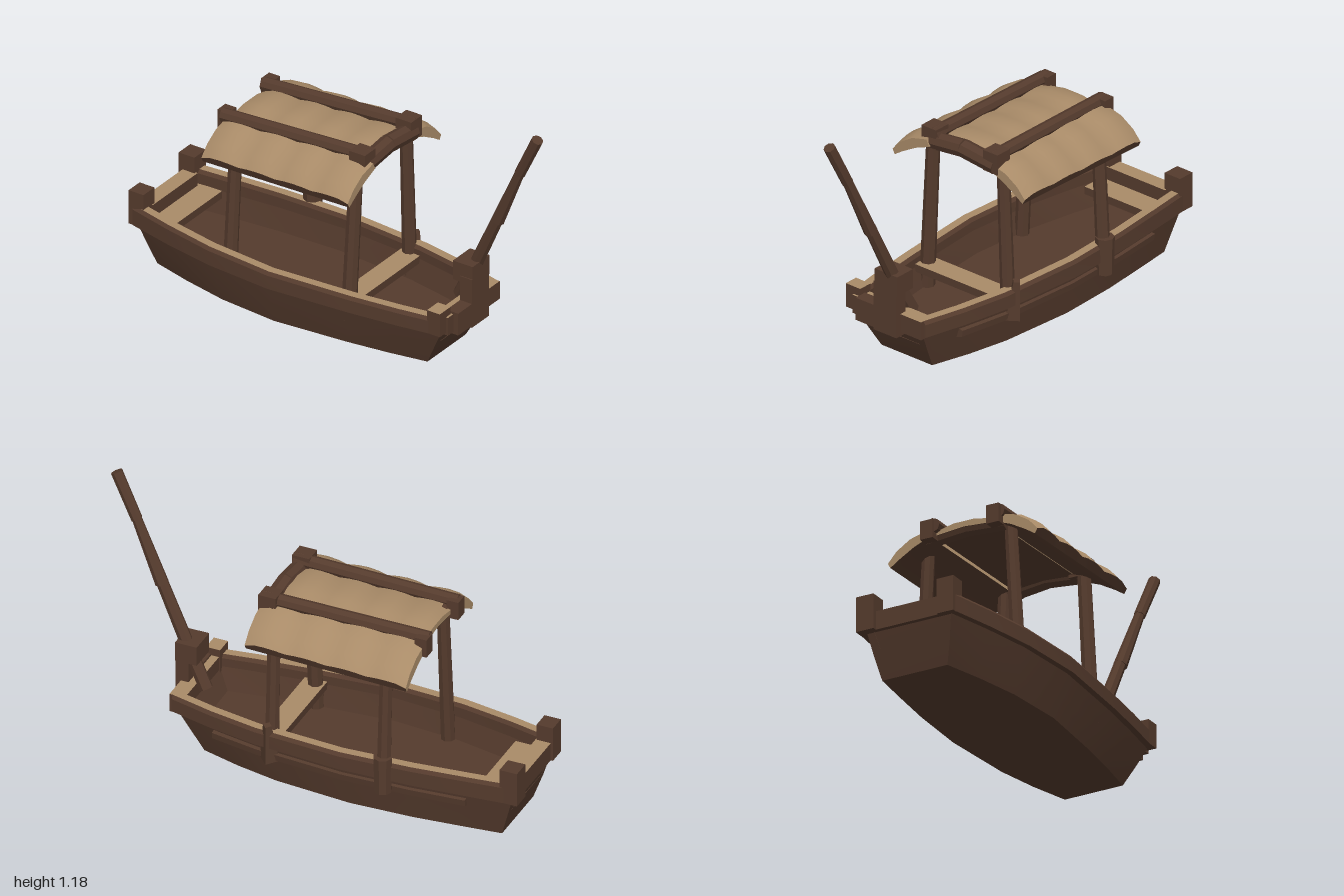
import * as THREE from 'three';
import { toCreasedNormals } from 'three/addons/utils/BufferGeometryUtils.js';

const wood = new THREE.MeshStandardMaterial({ color: 0x553b2d });
wood.name = 'dark wood';
const straw = new THREE.MeshStandardMaterial({ color: 0xa98b68 });
straw.name = 'pale straw';

const V = (x, y, z) => new THREE.Vector3(x, y, z);

// Skin a row of rings running along +x; each ring climbs on its +z side
function loft(rings, caps = true) {
  const out = [];
  const tri = (...pts) => pts.forEach((p) => out.push(p.x, p.y, p.z));
  const n = rings[0].length;
  for (let i = 0; i < rings.length - 1; i++) {
    for (let j = 0; j < n; j++) {
      const k = (j + 1) % n;
      const a = rings[i][j], b = rings[i][k], c = rings[i + 1][k], d = rings[i + 1][j];
      tri(a, d, b);
      tri(b, d, c);
    }
  }
  if (caps) {
    const first = rings[0], last = rings[rings.length - 1];
    const middle = (r) => r.reduce((s, p) => s.add(p), V(0, 0, 0)).divideScalar(n);
    const m0 = middle(first), m1 = middle(last);
    for (let j = 0; j < n; j++) {
      const k = (j + 1) % n;
      tri(m0, first[j], first[k]);
      tri(m1, last[k], last[j]);
    }
  }
  const g = new THREE.BufferGeometry();
  g.setAttribute('position', new THREE.Float32BufferAttribute(out, 3));
  return g;
}

// Faces whose upward tilt exceeds the limit get straw, the others wood
function paint(geo, limit) {
  const g = geo.index ? geo.toNonIndexed() : geo;
  g.clearGroups();
  const p = g.attributes.position;
  const t = new THREE.Triangle(), nrm = V(0, 0, 0);
  for (let i = 0; i < p.count; i += 3) {
    t.setFromAttributeAndIndices(p, i, i + 1, i + 2);
    t.getNormal(nrm);
    g.addGroup(i, 3, nrm.y > limit ? 1 : 0);
  }
  return g;
}

export function createModel() {
  const boat = new THREE.Group();
  boat.name = 'boat';

  function add(name, geo, limit) {
    const painted = limit !== undefined;
    const g = toCreasedNormals(painted ? paint(geo, limit) : geo, 0.6);
    const mesh = new THREE.Mesh(g, painted ? [wood, straw] : wood);
    mesh.name = name;
    boat.add(mesh);
    return mesh;
  }
  function box(name, x0, x1, y0, y1, z0, z1, limit) {
    const g = new THREE.BoxGeometry(x1 - x0, y1 - y0, z1 - z0);
    g.translate((x0 + x1) / 2, (y0 + y1) / 2, (z0 + z1) / 2);
    return add(name, g, limit);
  }
  function pole(name, a, b, ra, rb = ra, sides = 8) {
    const d = b.clone().sub(a);
    const g = new THREE.CylinderGeometry(rb, ra, d.length(), sides);
    g.applyQuaternion(new THREE.Quaternion().setFromUnitVectors(V(0, 1, 0), d.normalize()));
    const m = a.clone().add(b).multiplyScalar(0.5);
    g.translate(m.x, m.y, m.z);
    return add(name, g);
  }

  // Hull plan: x, outer z on the left side, outer z on the right side
  const plan = [[-0.97, 0.21, -0.23], [-0.76, 0.26, -0.25], [-0.52, 0.305, -0.27], [-0.2, 0.33, -0.28],
    [0.2, 0.3, -0.25], [0.42, 0.275, -0.21], [0.62, 0.245, -0.16]];
  const rake = (x) => -0.9 + (x + 0.97) * (1.4 / 1.59);
  const slope = (x, y) => rake(x) + (x - rake(x)) * Math.min(1, y / 0.22);
  const at = (x, y, z) => V(slope(x, y), y, z);

  add('hull', loft(plan.map(([x, f, b]) => [
    at(x, 0, f - 0.07), at(x, 0.1, f - 0.04), at(x, 0.22, f - 0.01),
    at(x, 0.22, f - 0.05), at(x, 0.12, f - 0.07),
    at(x, 0.12, b + 0.07), at(x, 0.22, b + 0.05),
    at(x, 0.22, b + 0.01), at(x, 0.1, b + 0.035), at(x, 0, b + 0.055),
  ]), false));

  // End boards closing the hull
  const board = ([x, f, b], dx) => [
    at(x, 0, f - 0.07), at(x, 0.1, f - 0.04), at(x, 0.24, f - 0.01),
    at(x, 0.24, b + 0.01), at(x, 0.1, b + 0.035), at(x, 0, b + 0.055),
  ].map((p) => p.add(V(dx, 0, 0)));
  const bow = plan[0], stern = plan[plan.length - 1];
  add('bowBoard', loft([board(bow, 0), board(bow, 0.04)]));
  add('sternBoard', loft([board(stern, -0.04), board(stern, 0)]));

  // Side rails with pale top faces
  const railY = (x) => 0.275 + 0.015 * Math.max(0, -x);
  const rail = (side) => plan.map(([x, f, b]) => {
    const outer = side > 0 ? f + 0.012 : b + 0.05;
    const inner = side > 0 ? f - 0.05 : b - 0.012;
    const y = railY(x);
    return [V(x, 0.2, outer), V(x, y - 0.015, outer), V(x, y, outer - 0.012),
      V(x, y, inner + 0.012), V(x, y - 0.015, inner), V(x, 0.2, inner)];
  });
  add('leftRail', loft(rail(1)), 0.8);
  add('rightRail', loft(rail(-1)), 0.8);

  // Lower strake on the right side
  add('rightStrake', loft(plan.slice(1, 6).map(([x, , b]) => [
    V(x, 0.125, b + 0.04), V(x, 0.17, b + 0.04), V(x, 0.165, b + 0.005), V(x, 0.135, b + 0.01),
  ])));

  // Bow and stern rails, corner posts and benches
  box('bowRail', -0.98, -0.91, 0.2, 0.285, -0.17, 0.16, 0.8);
  box('sternRail', 0.565, 0.635, 0.19, 0.275, -0.16, 0.22, 0.8);
  box('bowPostLeft', -0.99, -0.915, 0.2, 0.36, 0.14, 0.22);
  box('bowPostRight', -1, -0.92, 0.2, 0.36, -0.245, -0.16);
  box('sternPostLeft', 0.56, 0.625, 0.2, 0.31, 0.185, 0.265, 0.8);
  box('sternBlock', 0.6, 0.66, 0.18, 0.285, 0.07, 0.18);
  box('bowBench', -0.93, -0.8, 0.19, 0.225, -0.19, 0.18, 0.8);
  box('thwart', 0.1, 0.2, 0.2, 0.235, -0.22, 0.26, 0.8);

  // Canopy posts
  pole('postFrontLeft', V(0.14, 0.12, 0.235), V(0.15, 0.86, 0.19), 0.034, 0.03);
  pole('postFrontRight', V(0.14, 0.12, -0.215), V(0.14, 0.86, -0.185), 0.032, 0.028);
  pole('postBackLeft', V(-0.465, 0.12, 0.235), V(-0.46, 0.84, 0.19), 0.032, 0.028);
  pole('postBackRight', V(-0.4, 0.15, -0.275), V(-0.4, 0.82, -0.24), 0.032, 0.028);
  pole('postFootBackRight', V(-0.4, 0.14, -0.28), V(-0.4, 0.31, -0.28), 0.038, 0.042);
  pole('postFootFrontRight', V(0.14, 0.13, -0.235), V(0.14, 0.31, -0.26), 0.045, 0.02, 4);

  // Canopy beams with blocky ends
  pole('beamLeft', V(-0.54, 0.85, 0.175), V(0.2, 0.88, 0.155), 0.032);
  pole('beamRight', V(-0.55, 0.85, -0.135), V(0.2, 0.88, -0.17), 0.032);
  for (const s of [1, -1]) {
    pole('crossBeamFront', V(0.175, 0.86, 0), V(0.175, 0.84, s * 0.18), 0.04);
    pole('crossBeamBack', V(-0.49, 0.825, 0), V(-0.49, 0.81, s * 0.19), 0.032);
    box('beamEndFront', 0.125, 0.205, 0.815, 0.91, s * 0.17 - 0.04, s * 0.17 + 0.04);
    box('beamEndBack', -0.56, -0.505, 0.79, 0.875, s * 0.16 - 0.03, s * 0.16 + 0.03);
  }

  // Straw mats: a (z, y) outline swept along x in gently bulging bundles
  function mat(name, outline, x0, x1) {
    const rings = [];
    const steps = 16;
    for (let i = 0; i <= steps; i++) {
      const t = i / steps;
      const x = x0 + (x1 - x0) * t;
      const puff = 0.01 * Math.abs(Math.sin(t * Math.PI * 4));
      const end = i === 0 || i === steps ? -0.008 : 0;
      rings.push(outline.map(([z, y, top]) => V(x,
        y + 0.02 * (t - 0.5) + (top ? puff + end : 0),
        z + (top ? Math.sign(z) * puff * 0.6 : 0))));
    }
    add(name, loft(rings), -0.3);
  }
  const eave = [[0.345, 0.72, 0], [0.357, 0.75, 1], [0.315, 0.797, 1], [0.25, 0.838, 1], [0.17, 0.858, 1],
    [0.155, 0.82, 0], [0.23, 0.79, 0], [0.3, 0.75, 0]];
  mat('leftMat', eave, -0.525, 0.22);
  mat('rightMat', eave.map(([z, y, top]) => [-z, y - 0.005, top]).reverse(), -0.54, 0.2);
  mat('middleMat', [[0.15, 0.82, 0], [0.15, 0.845, 1], [0.05, 0.865, 1], [-0.05, 0.865, 1], [-0.14, 0.845, 1],
    [-0.14, 0.82, 0], [0, 0.832, 0]], -0.525, 0.16);

  // Oar mount and steering oar
  box('oarMountHead', 0.56, 0.66, 0.37, 0.46, -0.05, 0.075);
  box('oarMount', 0.6, 0.66, 0.17, 0.4, -0.045, 0.08);
  pole('oarFoot', V(0.53, 0.25, -0.02), V(0.62, 0.42, 0), 0.03, 0.03);
  pole('oarLower', V(0.62, 0.42, 0), V(0.765, 0.73, 0.02), 0.03, 0.026);
  pole('oarMiddle', V(0.75, 0.69, 0.018), V(0.89, 1.0, 0.04), 0.03, 0.021);
  pole('oarHandle', V(0.875, 0.965, 0.038), V(0.975, 1.165, 0.053), 0.025, 0.026);
  return boat;
}
